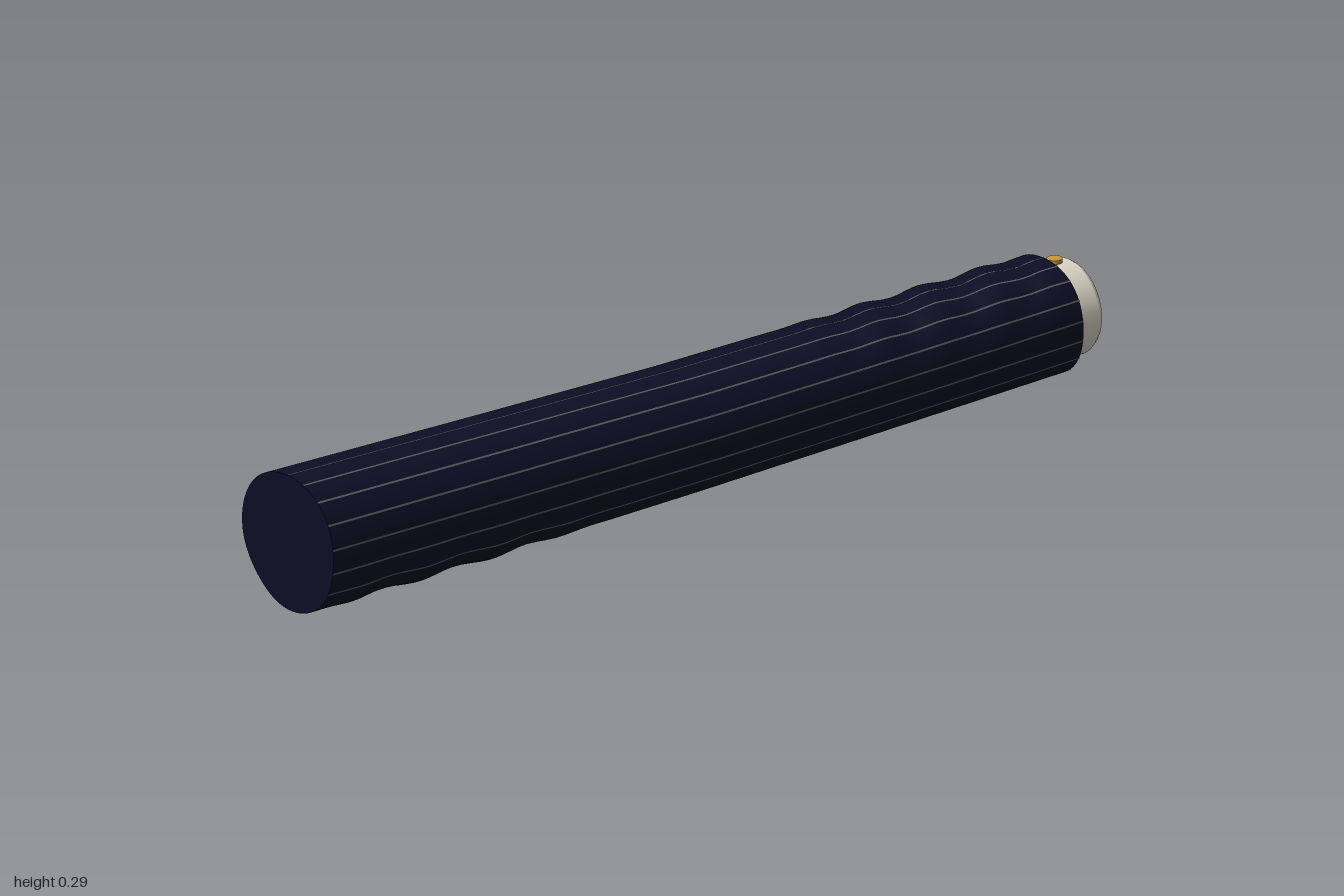
import * as THREE from 'three';

const X0 = -1, X1 = 0.93, RINGS = 80, SIDES = 72, STRIPES = 18;
const lerp = THREE.MathUtils.lerp, smooth = THREE.MathUtils.smoothstep;

// Profile of the sleeve along x: [x, top y, bottom y, half depth, centre z]
const profile = [
  [-1, 0.294, 0.008, 0.144, 0.002],
  [-0.5, 0.283, 0.012, 0.140, 0],
  [0, 0.274, 0.021, 0.136, 0],
  [0.5, 0.276, 0.033, 0.130, 0],
  [0.93, 0.282, 0.045, 0.124, 0.003],
];

function sample(x) {
  let i = 0;
  while (i < profile.length - 2 && x > profile[i + 1][0]) i++;
  const a = profile[i], b = profile[i + 1], t = (x - a[0]) / (b[0] - a[0]);
  return a.map((v, k) => lerp(v, b[k], t));
}

// Point on the cloth; angle 0 faces +z, a quarter turn faces up
function clothPoint(x, a, lift = 0) {
  const [, top, bottom, depth, cz] = sample(x);
  const s = Math.sin(a), c = Math.cos(a);
  const upper = smooth(s, -0.1, 0.8) * smooth(x, 0.25, 0.5) * (1 - smooth(x, 0.86, 0.93));
  const lower = smooth(-s, -0.1, 0.8) * smooth(x, -1, -0.85) * (1 - smooth(x, -0.5, -0.2));
  // folds near the wrist and below the upper arm
  const folds = 0.004 * upper * Math.sin(x * 42 + c * 2.5) + 0.004 * lower * Math.sin(x * 34 + c * 2);
  // slightly flattened lower back
  const flat = -0.014 * Math.pow(Math.max(0, Math.cos(a - Math.PI * 1.25)), 6);
  const square = 0.002 * (1 - Math.cos(4 * a));
  const d = folds + flat + square + lift;
  return [x, (top + bottom) / 2 + ((top - bottom) / 2 + d) * s, cz + (depth + d) * c];
}

// Grid of cloth between two angles
function clothGeometry(a0, a1, sides, lift) {
  const pos = [], idx = [];
  for (let i = 0; i <= RINGS; i++) {
    for (let j = 0; j <= sides; j++) {
      pos.push(...clothPoint(lerp(X0, X1, i / RINGS), lerp(a0, a1, j / sides), lift));
      if (i < RINGS && j < sides) {
        const p = i * (sides + 1) + j, q = p + sides + 1;
        idx.push(p, q, q + 1, p, q + 1, p + 1);
      }
    }
  }
  return buffer(pos, idx);
}

// Flat end closing the cloth
function endGeometry(x, outward) {
  const [, top, bottom, , cz] = sample(x);
  const pos = [x, (top + bottom) / 2, cz], idx = [];
  for (let j = 0; j < SIDES; j++) {
    pos.push(...clothPoint(x, (j / SIDES) * Math.PI * 2));
    const p = j + 1, q = ((j + 1) % SIDES) + 1;
    idx.push(0, ...(outward > 0 ? [q, p] : [p, q]));
  }
  return buffer(pos, idx);
}

function buffer(pos, idx) {
  const g = new THREE.BufferGeometry();
  g.setAttribute('position', new THREE.Float32BufferAttribute(pos, 3));
  g.setIndex(idx);
  g.computeVertexNormals();
  return g;
}

function material(name, color) {
  const m = new THREE.MeshStandardMaterial({ color });
  m.name = name;
  return m;
}

export function createModel() {
  const group = new THREE.Group();
  group.name = 'sleeve';
  const navy = material('navy cloth', 0x0d0d26);
  const grey = material('grey pinstripe', 0x5a5a5a);
  const ivory = material('ivory cuff', 0xddd7c8);
  const gold = material('gold', 0xc8963a);

  const add = (name, geometry, mat, parent = group) => {
    const mesh = new THREE.Mesh(geometry, mat);
    mesh.name = name;
    parent.add(mesh);
    return mesh;
  };

  // Cloth tube and its ends
  add('sleeveCloth', clothGeometry(0, Math.PI * 2, SIDES, 0), navy);
  add('shoulderEnd', endGeometry(X0, -1), navy);
  add('wristEnd', endGeometry(X1, 1), navy);

  // Pinstripes following the cloth
  const stripes = new THREE.Group();
  stripes.name = 'pinstripes';
  group.add(stripes);
  for (let k = 0; k < STRIPES; k++) {
    const a = ((k + 0.5) / STRIPES) * Math.PI * 2;
    add('pinstripe', clothGeometry(a - 0.014, a + 0.014, 1, 0.001), grey, stripes);
  }

  // Shirt cuff with a bevelled rim
  const wall = [[0.1, -0.05], [0.1, 0.06]];
  const rim = [[0.1, 0.06], [0.094, 0.07]];
  const face = [[0.094, 0.07], [0, 0.07]];
  const cuff = new THREE.Group();
  cuff.name = 'shirtCuff';
  cuff.rotation.z = -Math.PI / 2;
  cuff.position.set(0.93, 0.166, 0.005);
  group.add(cuff);
  [['cuffWall', wall, 32], ['cuffRim', rim, 32], ['cuffFace', face, 32]].forEach(([name, pts, n]) =>
    add(name, new THREE.LatheGeometry(pts.map(p => new THREE.Vector2(...p)), n), ivory, cuff));

  // Cuff link on top
  const link = add('cuffLink', new THREE.CylinderGeometry(0.016, 0.016, 0.008, 20), gold);
  link.position.set(0.955, 0.272, 0.005);
  const post = add('cuffLinkPost', new THREE.CylinderGeometry(0.01, 0.01, 0.014, 16), gold);
  post.position.set(0.955, 0.267, 0.005);

  return group;
}
